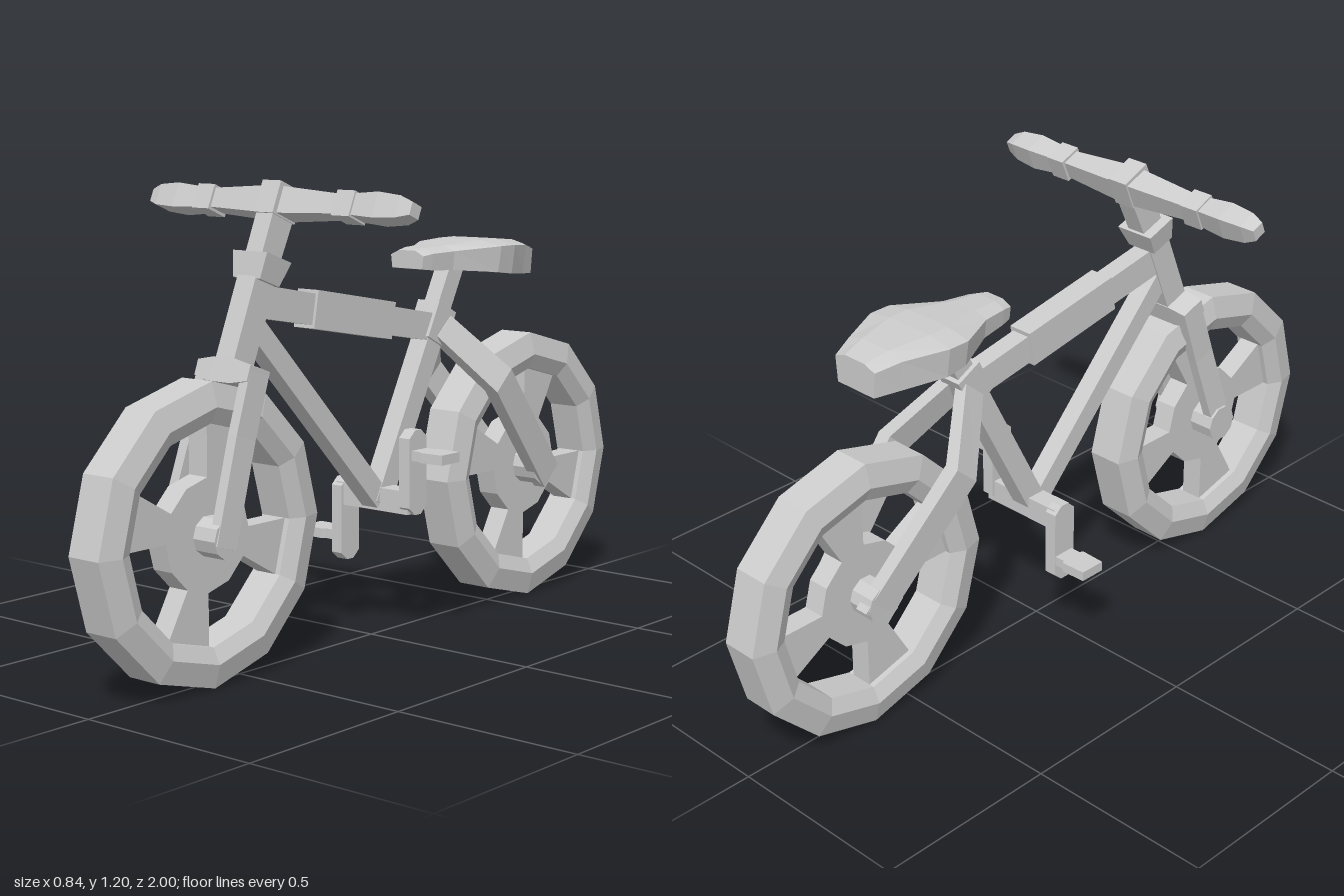
import * as THREE from 'three';

const mat = new THREE.MeshStandardMaterial({ color: 0xcccccc, flatShading: true });
const V = (x, y, z) => new THREE.Vector3(x, y, z);

// Closed solid through a row of cross-sections (arrays of points, equal count)
function loft(sections) {
  const pos = [];
  const n = sections[0].length;
  const tri = (a, b, c) => pos.push(...a.toArray(), ...b.toArray(), ...c.toArray());
  for (let s = 0; s < sections.length - 1; s++) {
    const A = sections[s], B = sections[s + 1];
    for (let i = 0; i < n; i++) {
      const j = (i + 1) % n;
      tri(A[i], A[j], B[j]);
      tri(A[i], B[j], B[i]);
    }
  }
  const first = sections[0], last = sections[sections.length - 1];
  for (let i = 1; i < n - 1; i++) {
    tri(first[0], first[i + 1], first[i]);
    tri(last[0], last[i], last[i + 1]);
  }
  // Turn the faces outward when the signed volume is negative
  let volume = 0;
  const c = first[0];
  for (let i = 0; i < pos.length; i += 9) {
    const [p, q, r] = [0, 3, 6].map((k) => V(pos[i + k], pos[i + k + 1], pos[i + k + 2]).sub(c));
    volume += p.dot(q.cross(r));
  }
  if (volume < 0) {
    for (let i = 0; i < pos.length; i += 9)
      for (let k = 0; k < 3; k++) [pos[i + 3 + k], pos[i + 6 + k]] = [pos[i + 6 + k], pos[i + 3 + k]];
  }
  const g = new THREE.BufferGeometry();
  g.setAttribute('position', new THREE.Float32BufferAttribute(pos, 3));
  g.computeVertexNormals();
  return g;
}

// Square tube along points [x, y, z, half width in x, half depth]
function tube(path) {
  return loft(path.map(([x, y, z, hx, hn], i) => {
    const a = path[Math.max(i - 1, 0)], b = path[Math.min(i + 1, path.length - 1)];
    const d = V(0, -(b[2] - a[2]), b[1] - a[1]).normalize().multiplyScalar(hn);
    return [[-1, -1], [1, -1], [1, 1], [-1, 1]].map(([u, v]) => V(x + u * hx, y + v * d.y, z + v * d.z));
  }));
}

// Bar across the bike: stations [x, half height, half depth], tilted about x
function crossBar(stations, y, z, tilt) {
  const c = Math.cos(tilt), s = Math.sin(tilt);
  return loft(stations.map(([x, h, d]) => [[-1, -1], [1, -1], [1, 1], [-1, 1]].map(([u, v]) =>
    V(x, y + v * h * c - u * d * s, z + u * d * c + v * h * s))));
}
const mirrored = (half) => [...half.map(([x, h, d]) => [-x, h, d]).reverse(), ...half];

function add(parent, name, geometry) {
  const m = new THREE.Mesh(geometry, mat);
  m.name = name;
  parent.add(m);
  return m;
}

function makeWheel(name, z) {
  const wheel = new THREE.Group();
  wheel.name = name;
  wheel.position.set(-0.004, 0.37, z);
  // Twelve-sided tyre
  const profile = [[0.27, -0.045], [0.31, -0.065], [0.37, -0.049], [0.37, 0.049],
    [0.31, 0.065], [0.27, 0.045], [0.27, -0.045]].map(([r, y]) => new THREE.Vector2(r, y));
  add(wheel, 'tyre', new THREE.LatheGeometry(profile, 12).rotateZ(Math.PI / 2));
  // Hub disc with four wedge spokes
  const shape = new THREE.Shape();
  for (let k = 0; k < 4; k++) {
    [[-60, 0.14], [-30, 0.14], [-30, 0.28], [0, 0.28], [0, 0.14]].forEach(([deg, r], i) => {
      const a = THREE.MathUtils.degToRad(deg + 90 * k);
      const p = [r * Math.cos(a), r * Math.sin(a)];
      if (k === 0 && i === 0) shape.moveTo(...p);
      else shape.lineTo(...p);
    });
  }
  const disc = new THREE.ExtrudeGeometry(shape, { depth: 0.06, bevelEnabled: false });
  add(wheel, 'spokes', disc.translate(0, 0, -0.03).rotateY(Math.PI / 2));
  add(wheel, 'axle', new THREE.CylinderGeometry(0.05, 0.05, 0.2, 10).rotateZ(Math.PI / 2));
  return wheel;
}

export function createModel() {
  const bike = new THREE.Group();
  bike.name = 'bicycle';
  bike.add(makeWheel('frontWheel', 0.632), makeWheel('rearWheel', -0.632));

  // Frame
  add(bike, 'headTube', tube([[0, 0.75, 0.515, 0.03, 0.036], [0, 0.97, 0.425, 0.03, 0.036]]));
  add(bike, 'topTube', tube([[0, 0.91, 0.44, 0.026, 0.04], [0, 0.785, -0.25, 0.026, 0.036]]));
  add(bike, 'topTubePad', tube([[0, 0.876, 0.25, 0.034, 0.048], [0, 0.822, -0.05, 0.034, 0.048]]));
  add(bike, 'downTube', tube([[0, 0.85, 0.455, 0.026, 0.028], [0, 0.36, -0.015, 0.026, 0.028]]));
  add(bike, 'seatTube', tube([[0, 0.345, -0.015, 0.028, 0.03], [0, 0.82, -0.262, 0.028, 0.03]]));
  add(bike, 'seatClamp', tube([[0, 0.75, -0.226, 0.036, 0.04], [0, 0.84, -0.272, 0.036, 0.04]]));
  add(bike, 'seatPost', tube([[0, 0.8, -0.252, 0.024, 0.028], [0, 0.96, -0.335, 0.024, 0.028]]));

  // Fork crown, steering collar, stem
  add(bike, 'forkCrown', crossBar(mirrored([[0.035, 0.03, 0.038], [0.086, 0.02, 0.036]]), 0.742, 0.517, -0.35));
  add(bike, 'collar', tube([[0, 0.955, 0.43, 0.044, 0.036], [0, 1.015, 0.408, 0.056, 0.046]]));
  add(bike, 'stem', tube([[0, 0.98, 0.42, 0.027, 0.034], [0, 1.13, 0.353, 0.027, 0.038]]));

  // Handlebar with grip collars
  const bar = [[0.03, 0.034, 0.034], [0.2, 0.025, 0.025], [0.2, 0.032, 0.032], [0.255, 0.032, 0.032],
    [0.255, 0.027, 0.027], [0.325, 0.032, 0.032], [0.39, 0.027, 0.027], [0.422, 0.016, 0.018]];
  add(bike, 'handlebar', crossBar(mirrored(bar), 1.138, 0.345, -0.4));
  add(bike, 'handlebarClamp', crossBar(mirrored([[0.03, 0.041, 0.043]]), 1.142, 0.348, -0.4));

  // Fork legs and rear stays
  for (const s of [1, -1]) {
    const side = s > 0 ? 'left' : 'right';
    add(bike, side + 'ForkLeg', tube([[s * 0.072, 0.75, 0.512, 0.014, 0.034],
      [s * 0.074, 0.6, 0.563, 0.014, 0.034], [s * 0.086, 0.35, 0.645, 0.014, 0.034]]));
    add(bike, side + 'RearStay', tube([[s * 0.02, 0.79, -0.255, 0.018, 0.038],
      [s * 0.12, 0.64, -0.385, 0.02, 0.042], [s * 0.083, 0.34, -0.66, 0.018, 0.042]]));
  }

  // Cranks: shaft, pointed arms, tapered pedals
  add(bike, 'crankShaft', crossBar(mirrored([[0.12, 0.03, 0.028]]), 0.362, -0.03, 0));
  const arm = new THREE.Shape([[-0.035, 0], [-0.012, -0.02], [0.012, -0.02], [0.035, 0],
    [0.035, 0.18], [0.012, 0.2], [-0.012, 0.2], [-0.035, 0.18]].map(([x, y]) => new THREE.Vector2(x, y - 0.02)));
  for (const s of [1, -1]) {
    const side = s > 0 ? 'left' : 'right';
    const g = new THREE.ExtrudeGeometry(arm, { depth: 0.034, bevelEnabled: false });
    g.translate(0, 0, -0.017).rotateY(Math.PI / 2);
    if (s < 0) g.rotateX(Math.PI);
    add(bike, side + 'Crank', g).position.set(s * 0.114, 0.367 - s * -0.004, -0.03);
    add(bike, side + 'Pedal', crossBar([[s * 0.125, 0.013, 0.03], [s * 0.16, 0.013, 0.03],
      [s * 0.165, 0.013, 0.039], [s * 0.234, 0.013, 0.036]], 0.367 + s * 0.12, -0.033, 0));
  }

  // Saddle: stations [z, half width, top, bottom]
  const saddle = [[-0.145, 0.054, 0.995, 0.948], [-0.175, 0.062, 1.0, 0.944], [-0.25, 0.075, 1.003, 0.94],
    [-0.37, 0.138, 1.012, 0.93], [-0.43, 0.138, 1.012, 0.922], [-0.54, 0.092, 1.003, 0.912],
    [-0.605, 0.068, 0.988, 0.908]];
  add(bike, 'saddle', loft(saddle.map(([z, w, t, b]) =>
    [[-0.5, t], [0.5, t], [1, t - 0.013], [0.92, b], [-0.92, b], [-1, t - 0.013]].map(([u, y]) => V(u * w, y, z)))));

  return bike;
}
